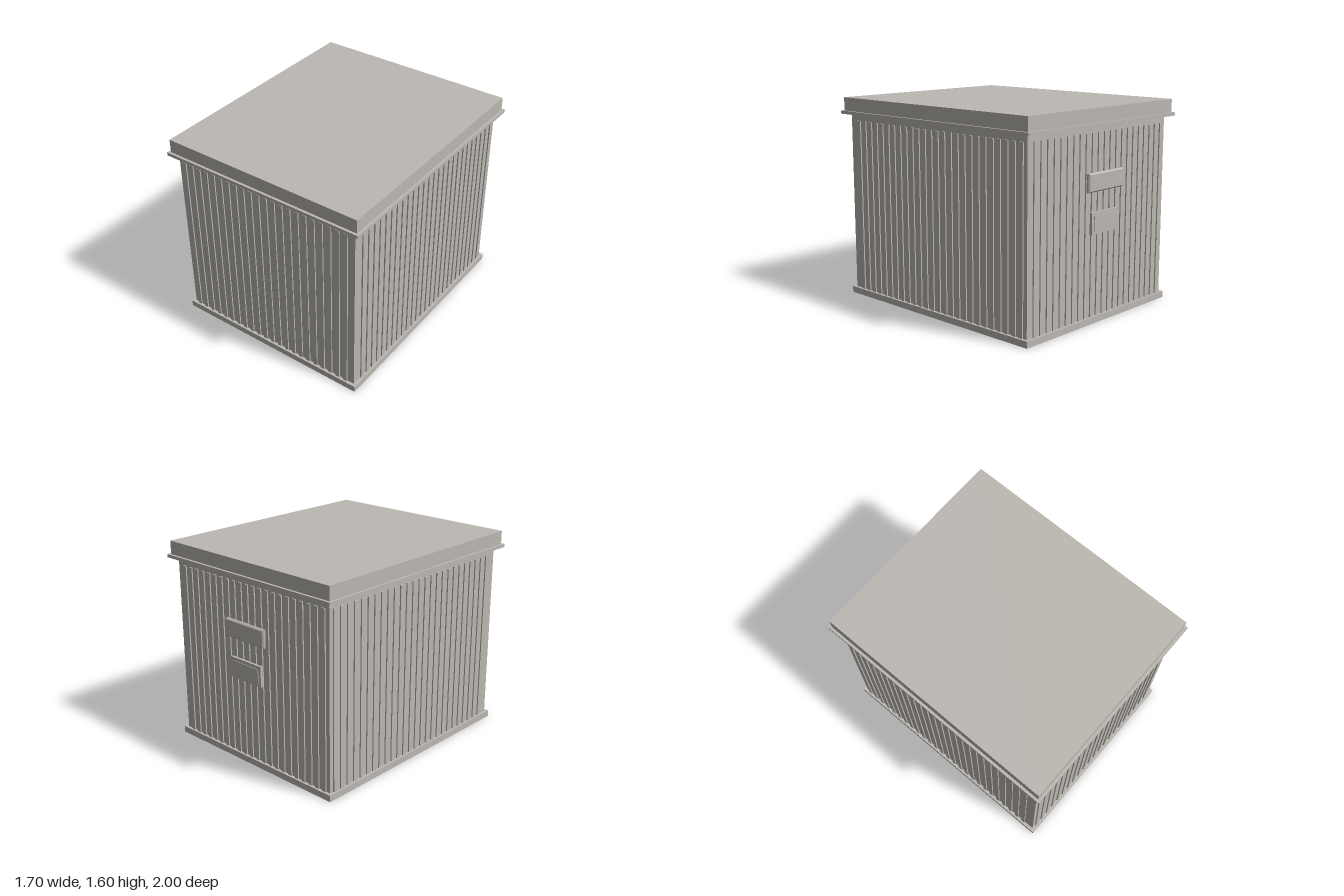
import * as THREE from 'three';

export function createModel() {
  const model = new THREE.Group();
  model.name = 'ribbedCabin';
  const grey = new THREE.MeshStandardMaterial({ color: 0xbcb8b2 });
  grey.name = 'warmGrey';

  // Box centred on x and z = 0 unless placed, standing between two heights
  function box(name, width, y0, y1, depth, x = 0, z = 0, parent = model) {
    const mesh = new THREE.Mesh(new THREE.BoxGeometry(width, y1 - y0, depth), grey);
    mesh.name = name;
    mesh.position.set(x, (y0 + y1) / 2, z);
    parent.add(mesh);
    return mesh;
  }

  // Main volumes
  const halfW = 0.79, halfD = 0.94;
  box('base', 1.63, 0, 0.05, 1.93);
  box('walls', halfW * 2, 0.05, 1.47, halfD * 2);
  box('roofRim', 1.7, 1.47, 1.495, 2);
  box('roof', 1.66, 1.495, 1.6, 1.96);

  // Vertical ribs on all four walls
  const ribs = new THREE.Group();
  ribs.name = 'wallRibs';
  model.add(ribs);
  const pitch = 0.0693, ribWidth = 0.033, proud = 0.01, margin = 0.05;
  for (const side of [-1, 1]) {
    for (let i = 0; i < 22; i++) {
      const x = -halfW + margin + i * pitch;
      box(side > 0 ? 'frontRib' : 'backRib', ribWidth, 0.05, 1.42, proud, x, side * (halfD + proud / 2), ribs);
    }
    for (let i = 0; i < 26; i++) {
      const z = -halfD + margin + i * pitch;
      box(side > 0 ? 'leftRib' : 'rightRib', proud, 0.05, 1.42, ribWidth, side * (halfW + proud / 2), z, ribs);
    }
  }

  // Bevelled sign board on the back
  const bevel = 0.01, w = 0.2 - bevel, h = 0.07 - bevel;
  const outline = new THREE.Shape([
    new THREE.Vector2(-w, -h), new THREE.Vector2(w, -h),
    new THREE.Vector2(w, h), new THREE.Vector2(-w, h),
  ]);
  const board = new THREE.Mesh(new THREE.ExtrudeGeometry(outline, {
    depth: 0.015, bevelEnabled: true, bevelSize: bevel, bevelThickness: bevel, bevelSegments: 1,
  }), grey);
  board.name = 'upperBackPlate';
  board.position.set(0, 1.07, -0.99);
  model.add(board);

  // Smaller plate with a raised centre panel
  box('lowerBackPlate', 0.32, 0.69, 0.85, 0.02, 0, -0.985);
  box('lowerBackPanel', 0.27, 0.715, 0.825, 0.005, 0, -0.9975);

  return model;
}
